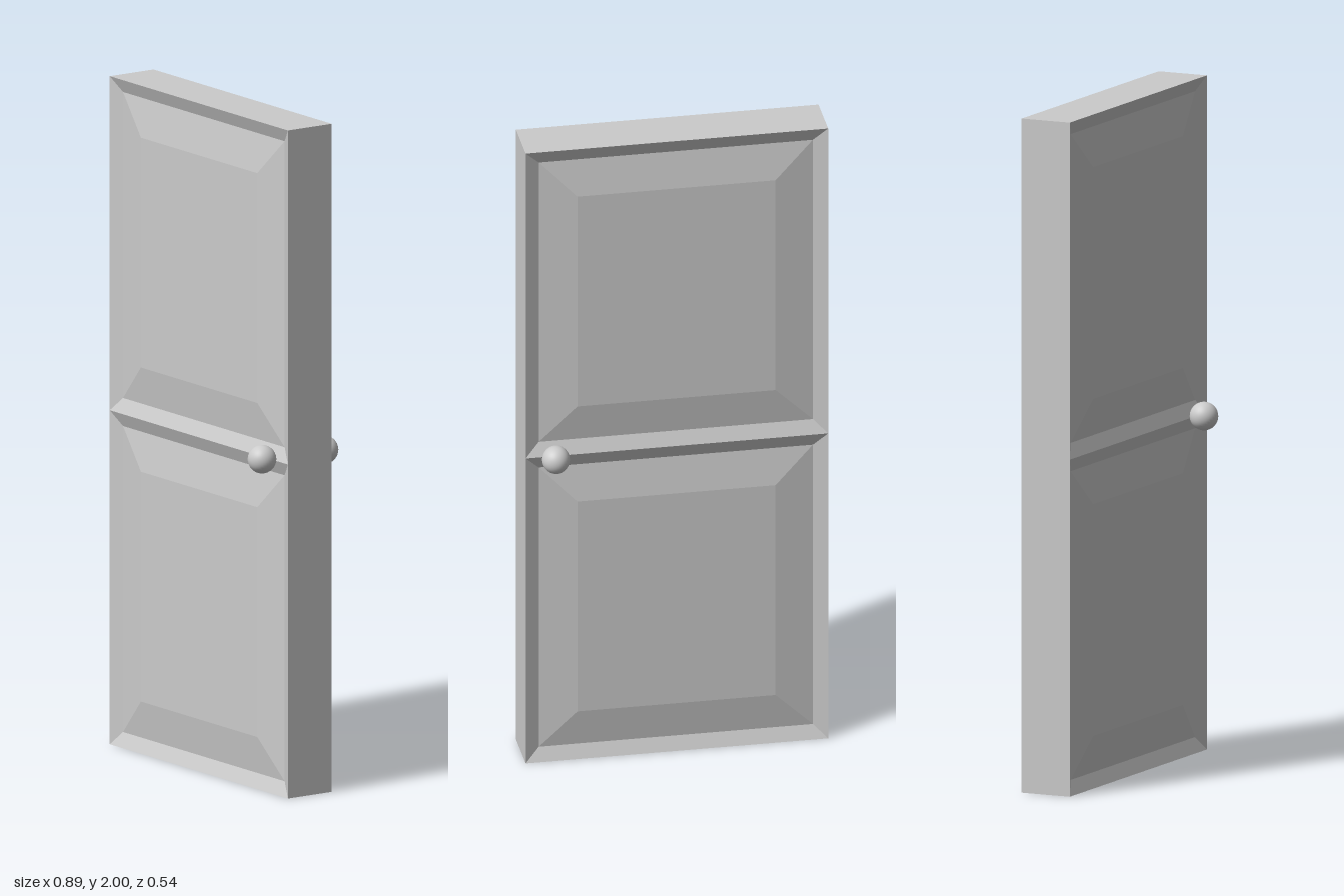
import * as THREE from 'three';

const W = 0.9, H = 2, T = 0.157;      // leaf width, height, thickness
const SWING = Math.atan2(0.355, 0.826); // door stands ajar

// flat-shaded geometry from a list of four-cornered faces (counter-clockwise)
function quadGeometry(quads) {
  const pos = [];
  for (const [a, b, c, d] of quads) pos.push(...a, ...b, ...c, ...a, ...c, ...d);
  const g = new THREE.BufferGeometry();
  g.setAttribute('position', new THREE.Float32BufferAttribute(pos, 3));
  g.computeVertexNormals();
  return g;
}

// rectangle corners, inset from the panel outline, at depth z
const rect = (x, y0, y1, inset, z) => [
  [-x + inset, y0 + inset, z], [x - inset, y0 + inset, z],
  [x - inset, y1 - inset, z], [-x + inset, y1 - inset, z],
];

// raised-and-fielded panel: edge, V-groove, sloping back out to a flat field
function panelGeometry(y0, y1) {
  const rings = [[0, 0], [0.042, 0.018], [0.156, 0.001]]
    .map(([inset, depth]) => rect(W / 2, y0, y1, inset, T / 2 - depth));
  const quads = [rings[2]];
  for (let r = 0; r < 2; r++) {
    for (let i = 0; i < 4; i++) {
      const j = (i + 1) % 4;
      quads.push([rings[r][i], rings[r][j], rings[r + 1][j], rings[r + 1][i]]);
    }
  }
  return quadGeometry(quads);
}

// plain edges around the leaf
function edgeGeometry() {
  const front = rect(W / 2, 0, H, 0, T / 2), back = rect(W / 2, 0, H, 0, -T / 2);
  return quadGeometry(front.map((p, i) => {
    const j = (i + 1) % 4;
    return [p, back[i], back[j], front[j]];
  }));
}

export function createModel() {
  const model = new THREE.Group();
  model.name = 'door';
  const flat = new THREE.MeshStandardMaterial({ color: 0xcccccc, flatShading: true });
  const smooth = new THREE.MeshStandardMaterial({ color: 0xcccccc });
  const add = (parent, geometry, material, name) => {
    const mesh = new THREE.Mesh(geometry, material);
    mesh.name = name;
    parent.add(mesh);
    return mesh;
  };

  const leaf = new THREE.Group();
  leaf.name = 'doorLeaf';
  leaf.position.set(0, 0, -0.02);
  leaf.rotation.y = -SWING;
  model.add(leaf);

  add(leaf, edgeGeometry(), flat, 'leafEdges');

  // both faces: two panels and a round knob each
  const lower = panelGeometry(0, H / 2), upper = panelGeometry(H / 2, H);
  const knob = new THREE.SphereGeometry(0.042, 32, 20);
  for (const [side, turn, knobX] of [['front', 0, 0.365], ['back', Math.PI, -0.365]]) {
    const face = new THREE.Group();
    face.name = side + 'Face';
    face.rotation.y = turn;
    leaf.add(face);
    add(face, lower, flat, side + 'LowerPanel');
    add(face, upper, flat, side + 'UpperPanel');
    add(face, knob, smooth, side + 'Knob').position.set(knobX, 1.005, 0.111);
  }
  return model;
}
